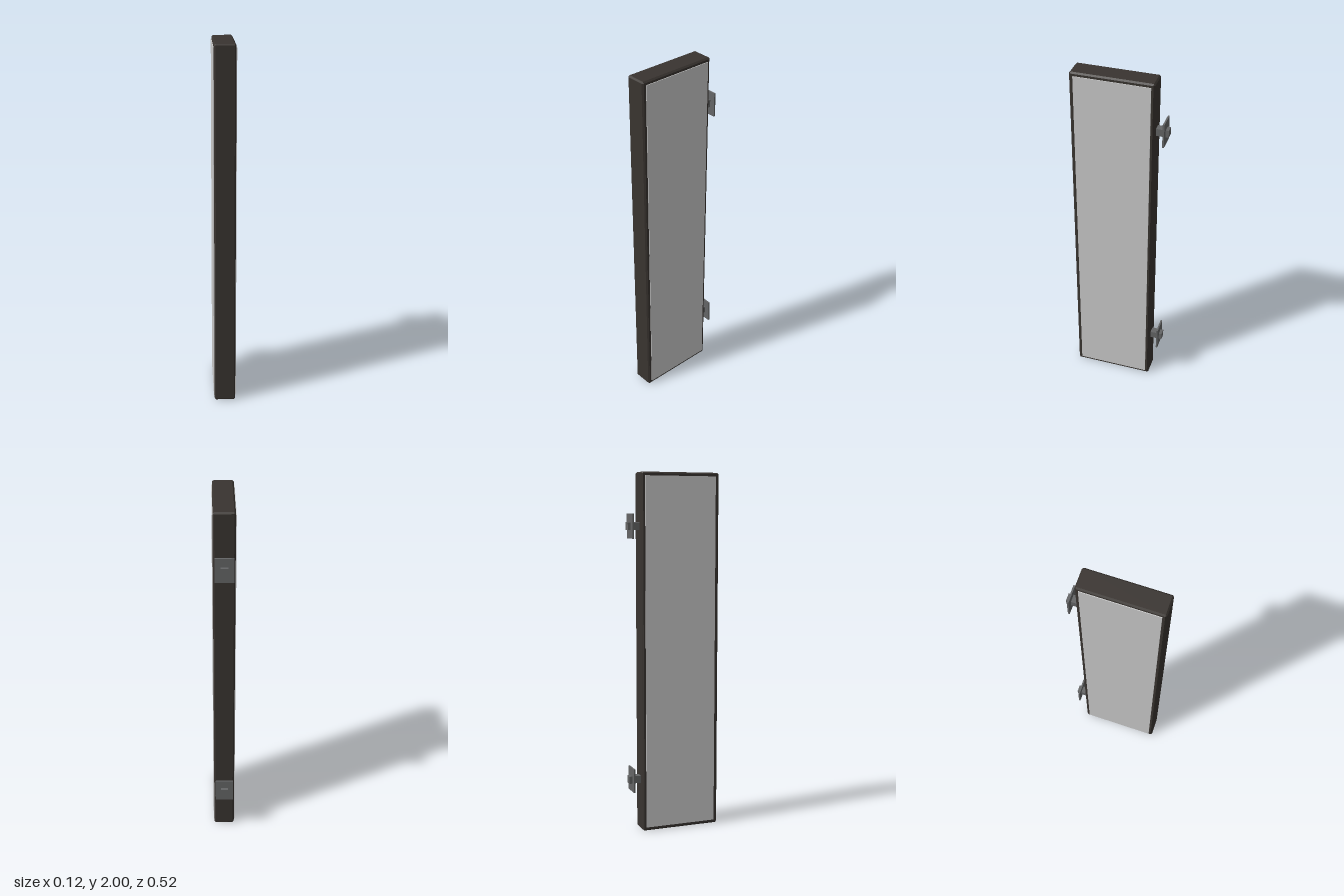
import * as THREE from 'three';
import { ConvexGeometry } from 'three/addons/geometries/ConvexGeometry.js';

const casingMat = new THREE.MeshStandardMaterial({ color: 0x393430, flatShading: true });
const panelMat = new THREE.MeshStandardMaterial({ color: 0xc3c3c3 });
const bracketMat = new THREE.MeshStandardMaterial({ color: 0x646566 });

// Box with every edge cut by a flat chamfer c
function chamferedBox(w, h, d, c) {
  const points = [];
  for (const sx of [-1, 1]) for (const sy of [-1, 1]) for (const sz of [-1, 1]) {
    for (let axis = 0; axis < 3; axis++) {
      const inset = [c, c, c];
      inset[axis] = 0;
      points.push(new THREE.Vector3(
        sx * (w / 2 - inset[0]), sy * (h / 2 - inset[1]), sz * (d / 2 - inset[2])));
    }
  }
  return new ConvexGeometry(points);
}

function addPart(parent, name, geometry, material, x, y, z) {
  const mesh = new THREE.Mesh(geometry, material);
  mesh.name = name;
  mesh.position.set(x, y, z);
  parent.add(mesh);
}

export function createModel() {
  const model = new THREE.Group();
  model.name = 'wallLightBox';

  // Tall casing
  addPart(model, 'casing', chamferedBox(0.116, 2, 0.45, 0.008), casingMat, 0, 1, 0.034);

  // Face panels, standing slightly proud of both broad sides
  for (const side of [-1, 1]) {
    addPart(model, side > 0 ? 'leftPanel' : 'rightPanel',
      new THREE.BoxGeometry(0.01, 1.96, 0.41), panelMat, side * 0.057, 1, 0.033);
  }

  // Mounting brackets on the rear edge: a square arm through a flat plate
  for (const [name, y] of [['lowerBracket', 0.293], ['upperBracket', 1.71]]) {
    const bracket = new THREE.Group();
    bracket.name = name;
    bracket.position.y = y;
    addPart(bracket, 'arm', new THREE.BoxGeometry(0.041, 0.041, 0.07), bracketMat, 0, 0, -0.224);
    addPart(bracket, 'plate', new THREE.BoxGeometry(0.1, 0.135, 0.009), bracketMat, 0, 0, -0.238);
    model.add(bracket);
  }
  return model;
}
